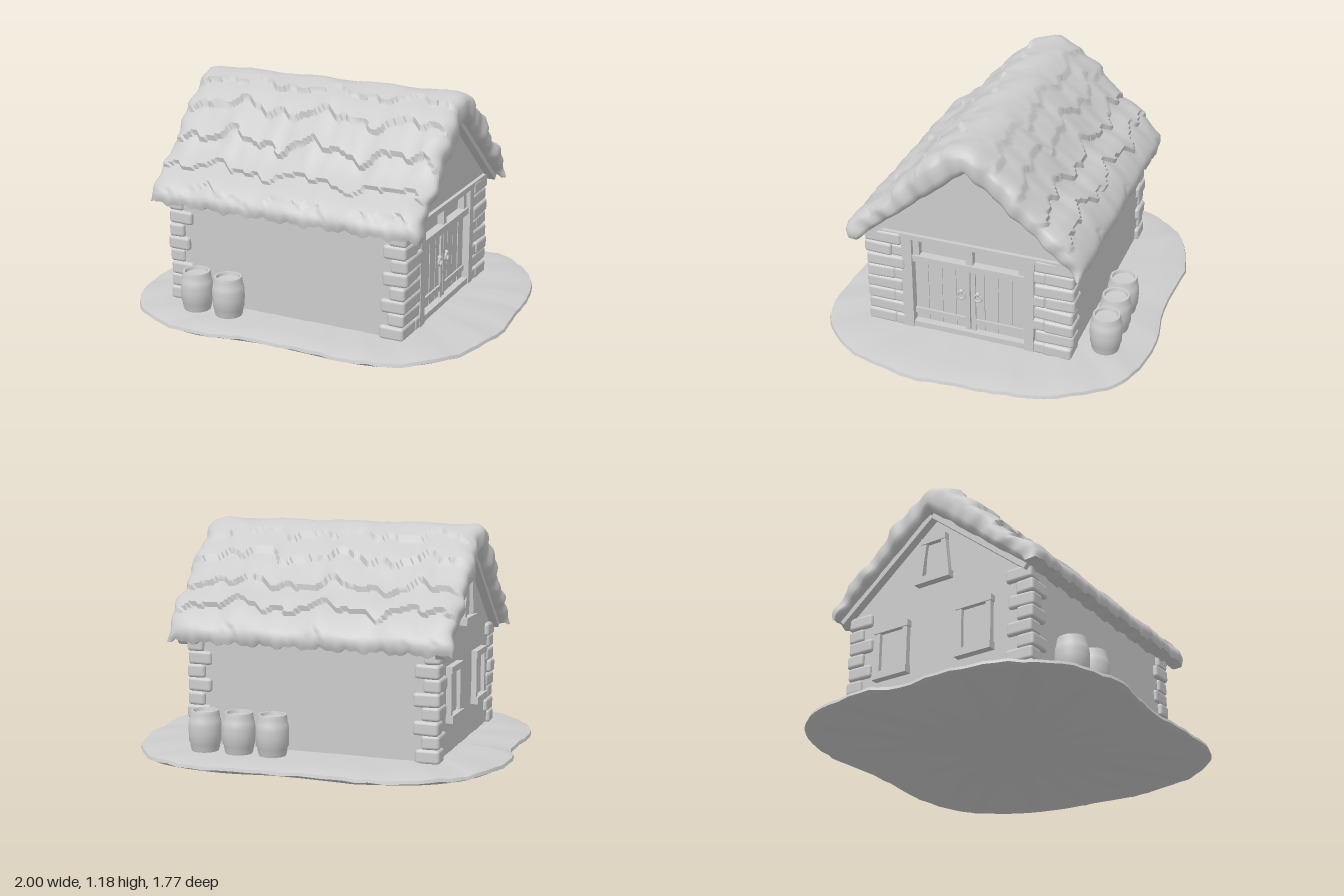
import * as THREE from 'three';
import { toCreasedNormals } from 'three/addons/utils/BufferGeometryUtils.js';
import { RoundedBoxGeometry } from 'three/addons/geometries/RoundedBoxGeometry.js';

const stone = new THREE.MeshStandardMaterial({ color: 0xcccccc });
stone.name = 'plain grey';

let seed = 7;
const rand = () => (seed = (seed * 16807) % 2147483647) / 2147483647;
const V2 = (a) => a.map(([x, y]) => new THREE.Vector2(x, y));

// Skin over rows of closed loops; point(i, k) gives [x, y, z]
function skin(rows, cols, point, crease) {
  const pos = [], idx = [];
  for (let i = 0; i < rows; i++) for (let k = 0; k < cols; k++) pos.push(...point(i, k));
  for (let i = 0; i < rows - 1; i++) for (let k = 0; k < cols; k++) {
    const a = i * cols + k, c = i * cols + (k + 1) % cols, b = a + cols, d = c + cols;
    idx.push(a, b, c, b, d, c);
  }
  const g = new THREE.BufferGeometry();
  g.setAttribute('position', new THREE.Float32BufferAttribute(pos, 3));
  g.setIndex(idx);
  return toCreasedNormals(g, crease);
}

function add(parent, name, geometry, x = 0, y = 0, z = 0) {
  const m = new THREE.Mesh(geometry, stone);
  m.name = name;
  m.position.set(x, y, z);
  parent.add(m);
  return m;
}
// Box given by its limits on each axis
function slab(parent, name, x0, x1, y0, y1, z0, z1) {
  return add(parent, name, new THREE.BoxGeometry(x1 - x0, y1 - y0, z1 - z0), (x0 + x1) / 2, (y0 + y1) / 2, (z0 + z1) / 2);
}

// Irregular patch of ground with a thin sloping rim
function ground() {
  const curve = new THREE.SplineCurve(V2([
    [-0.4, -0.87], [0, -0.85], [0.3, -0.89], [0.6, -0.85], [0.75, -0.76], [0.9, -0.55], [0.97, -0.3], [0.98, -0.1],
    [1, 0.15], [0.97, 0.35], [0.88, 0.6], [0.7, 0.78], [0.5, 0.84], [0.3, 0.84], [0, 0.83], [-0.2, 0.85], [-0.4, 0.88],
    [-0.6, 0.84], [-0.8, 0.73], [-0.93, 0.52], [-0.97, 0.3], [-0.95, 0], [-1, -0.2], [-0.95, -0.48], [-0.85, -0.66],
    [-0.68, -0.79], [-0.4, -0.87]]));
  const n = 104, edge = curve.getPoints(n);
  const rings = [[0, 0], [0.97, 0], [1, 0.014], [0.995, 0.03], [0.95, 0.04], [0.85, 0.048], [0.6, 0.055], [0, 0.058]];
  return skin(rings.length, n, (i, k) => {
    const [s, y] = rings[i];
    const bump = i > 1 && i < 6 ? 0.004 * Math.sin(k * 1.1) + 0.003 * Math.sin(k * 2.7) : 0;
    return [edge[k].x * s, y + bump, edge[k].y * s];
  }, 0.8);
}

// Thick thatch: outer and inner profile in (z, y), swept along x with wavy layers
function thatch() {
  const M = 110, x0 = -0.78, x1 = 0.715;
  const outer = new THREE.SplineCurve(V2([
    [0.645, 0.59], [0.65, 0.64], [0.6, 0.7], [0.455, 0.81], [0.345, 0.94], [0.195, 1.1], [0.085, 1.165], [0, 1.178],
    [-0.085, 1.15], [-0.23, 1.03], [-0.375, 0.88], [-0.49, 0.79], [-0.585, 0.68], [-0.605, 0.63], [-0.595, 0.59]])).getSpacedPoints(M - 1);
  const inner = (t) => t < 0.5
    ? [0.57 * (1 - 2 * t), 0.585 + 0.93 * t]
    : [-0.565 * (2 * t - 1), 1.05 - 0.46 * (2 * t - 1)];
  // thickness along the rounded ends
  const ends = [[0, 0], [0, 0.4], [0.006, 0.62], [0.02, 0.82], [0.045, 0.95], [0.07, 1]];
  const rows = ends.map(([d, f]) => [x0 + d, f]);
  for (let i = 1; i < 80; i++) rows.push([x0 + 0.07 + (x1 - x0 - 0.14) * i / 80, 1]);
  rows.push(...ends.map(([d, f]) => [x1 - d, f]).reverse());
  return skin(rows.length, 2 * M, (i, k) => {
    const [x, f] = rows[i], top = k < M, j = top ? k : 2 * M - 1 - k, t = j / (M - 1);
    const p = outer[j], [iz, iy] = inner(t);
    const mz = (p.x + iz) / 2, my = (p.y + iy) / 2;
    const wave = 0.18 * Math.sin(x * 13 + (p.x > 0 ? 1 : 3)) + 0.12 * Math.sin(x * 29 + p.x * 5) + 0.07 * Math.sin(x * 53);
    const layer = Math.abs(p.x) / 0.125 + wave, step = layer - Math.floor(layer);
    const amp = Math.min(1, Math.abs(p.x) / 0.15) * Math.min(1, 8 * Math.min(t, 1 - t));
    const lift = 0.024 * (step - 0.5) * amp + 0.004 * Math.sin(x * 17 + t * 31);
    const dz = p.x - iz, dy = p.y - iy, len = Math.hypot(dz, dy) || 1;
    const q = top ? [p.x + dz / len * lift, p.y + dy / len * lift] : [iz, iy];
    const rag = Math.max(0, 1 - 20 * Math.min(t, 1 - t)) * (0.008 * Math.sin(x * 41) + 0.006 * Math.sin(x * 97));
    const sway = Math.abs(x) > 0.6 ? 0.008 * Math.sin(t * 37 + x) + 0.005 * Math.sin(t * 83) : 0;
    return [x + sway, my + (q[1] - my) * f + rag, mz + (q[0] - mz) * f];
  }, 0.9);
}

// Gabled shell, extruded along x
function shell(points, x0, x1) {
  const g = new THREE.ExtrudeGeometry(new THREE.Shape(V2(points.map(([z, y]) => [-z, y]))), { depth: x1 - x0, bevelEnabled: false });
  return g.rotateY(Math.PI / 2).translate(x0, 0, 0);
}

// Alternating quoin stones at one corner; sx, sz point outwards
function quoins(parent, sx, sz) {
  const g = new THREE.Group(), cx = sx > 0 ? 0.64 : -0.715, cz = sz > 0 ? 0.585 : -0.542;
  g.name = 'cornerStones';
  const rows = 8, h = 0.56 / rows, deep = sx > 0 ? 0.2 : 0.14;
  for (let i = 0; i < rows; i++) {
    const wide = i % 2, w = (wide ? 0.085 : 0.125) + 0.012 * rand();
    const d = (wide ? deep : deep - 0.05) + 0.012 * rand();
    const ox = cx - sx * 0.014 * rand(), oz = cz - sz * 0.014 * rand();
    const m = add(g, 'cornerStone', new RoundedBoxGeometry(w, h * 1.02, d, 2, 0.016), ox - sx * w / 2, 0.045 + h * (i + 0.5), oz - sz * d / 2);
    m.rotation.set((rand() - 0.5) * 0.06, (rand() - 0.5) * 0.06, (rand() - 0.5) * 0.06);
    // small filler stone beside each short one on the door side
    if (sx > 0 && !wide) add(g, 'fillerStone', new RoundedBoxGeometry(0.08, h * 0.95, 0.07, 2, 0.014), 0.59, 0.045 + h * (i + 0.5), cz - sz * (d + 0.03));
  }
  parent.add(g);
}

function barrel(parent, x, z) {
  const profile = V2([[0, 0], [0.068, 0], [0.072, 0.012], [0.076, 0.04], [0.081, 0.05], [0.083, 0.1], [0.083, 0.13], [0.08, 0.158],
    [0.076, 0.165], [0.074, 0.19], [0.07, 0.206], [0.06, 0.206], [0.056, 0.19], [0, 0.186]]);
  add(parent, 'barrel', toCreasedNormals(new THREE.LatheGeometry(profile, 28), 0.6), x, 0.057, z);
}

// Framed window on the -x wall; the frame narrows upwards by `taper`
function gableWindow(parent, y, z, w, h, taper) {
  const g = new THREE.Group();
  g.name = 'window';
  const wallX = -0.69, t = 0.028;
  slab(g, 'windowPane', wallX - 0.008, wallX, -h / 2, h / 2, -w / 2 + taper, w / 2 - taper);
  for (const s of [-1, 1]) {
    const jamb = slab(g, 'windowJamb', wallX - 0.028, wallX, -h / 2, h / 2, -t / 2, t / 2);
    jamb.position.z = s * (w / 2 - taper / 2);
    jamb.rotation.x = -s * taper / h;
  }
  slab(g, 'windowHead', wallX - 0.034, wallX, h / 2 - t, h / 2 + 0.005, -w / 2 + taper - 0.02, w / 2 - taper + 0.02);
  slab(g, 'windowSill', wallX - 0.04, wallX, -h / 2 - 0.01, -h / 2 + t, -w / 2 - 0.02, w / 2 + 0.02);
  g.position.set(0, y, z);
  parent.add(g);
}

// Double door with posts and beams on the +x wall
function entrance(parent) {
  const g = new THREE.Group();
  g.name = 'entrance';
  slab(g, 'leftPost', 0.56, 0.632, 0.05, 0.6, 0.325, 0.38);
  slab(g, 'rightPost', 0.56, 0.632, 0.05, 0.6, -0.33, -0.28);
  slab(g, 'topBeam', 0.56, 0.632, 0.582, 0.61, -0.53, 0.57);
  slab(g, 'doorLintel', 0.56, 0.622, 0.45, 0.485, -0.28, 0.325);
  slab(g, 'threshold', 0.56, 0.625, 0.05, 0.085, -0.28, 0.325);
  for (const z of [0.31, 0.02, -0.26]) slab(g, 'transomStud', 0.56, 0.61, 0.48, 0.59, z - 0.018, z + 0.018);
  for (const s of [-1, 1]) {
    const near = 0.02 + s * 0.003, far = s > 0 ? 0.325 : -0.28;
    const a = Math.min(near, far), b = Math.max(near, far);
    slab(g, 'doorLeaf', 0.57, 0.586, 0.08, 0.45, a, b);
    const planks = 4;
    for (let i = 0; i < planks; i++) {
      const w = (b - a) / planks;
      slab(g, 'doorPlank', 0.58, 0.59 + 0.004 * rand(), 0.09, 0.45, a + w * i + 0.003, a + w * (i + 1) - 0.003);
    }
    slab(g, 'doorRail', 0.58, 0.602, 0.125, 0.155, a, b);
    slab(g, 'doorStile', 0.58, 0.602, 0.085, 0.45, near - (s < 0 ? 0.025 : 0), near + (s > 0 ? 0.025 : 0));
    const ring = add(g, 'doorRing', new THREE.TorusGeometry(0.02, 0.006, 8, 20), 0.606, 0.292, 0.022 + s * 0.045);
    ring.rotation.y = Math.PI / 2;
    add(g, 'doorKnob', new THREE.SphereGeometry(0.012, 12, 8), 0.604, 0.315, 0.022 + s * 0.045);
  }
  parent.add(g);
}

export function createModel() {
  const model = new THREE.Group();
  model.name = 'cottage';
  add(model, 'ground', ground());

  // Walls, with the door gable standing a little proud above the doors
  add(model, 'walls', shell([[0.56, 0.03], [0.56, 0.6], [0, 1.065], [-0.518, 0.62], [-0.518, 0.03]], -0.69, 0.575));
  add(model, 'doorGable', shell([[0.555, 0.59], [0, 1.06], [-0.55, 0.59]], 0.57, 0.612));
  for (const sx of [-1, 1]) for (const sz of [-1, 1]) quoins(model, sx, sz);

  entrance(model);
  gableWindow(model, 0.36, -0.25, 0.17, 0.27, 0);
  gableWindow(model, 0.36, 0.25, 0.17, 0.27, 0);
  gableWindow(model, 0.8, 0, 0.17, 0.24, 0.03);

  add(model, 'thatchedRoof', thatch());
  // Boards under the roof edges
  for (const x of [-0.715, 0.645]) for (const s of [-1, 1]) {
    const board = add(model, 'rafter', new THREE.BoxGeometry(0.045, 0.035, 0.72), x, 0.812, s * 0.284);
    board.rotation.x = s * 0.685;
  }

  for (const [x, z] of [[-0.495, 0.663], [-0.308, 0.663], [0.115, -0.65], [0.292, -0.66], [0.475, -0.665]]) barrel(model, x, z);
  return model;
}
